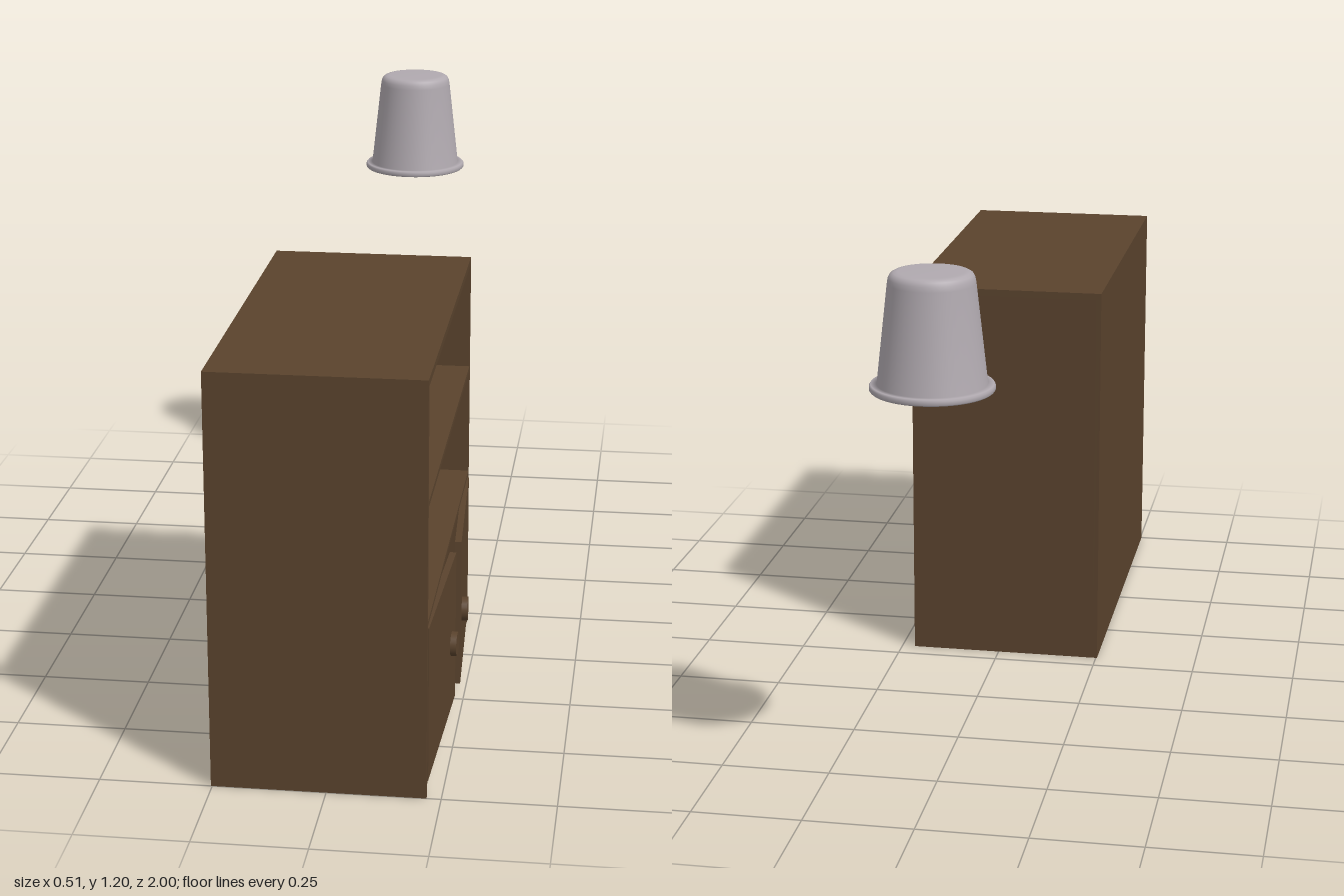
import * as THREE from 'three';

export function createModel() {
  const model = new THREE.Group();
  const wood = new THREE.MeshStandardMaterial({ color: 0x5a432d });
  wood.name = 'brown wood';
  const metal = new THREE.MeshStandardMaterial({ color: 0xb0a9af, side: THREE.DoubleSide });
  metal.name = 'pale grey';

  const cabinet = new THREE.Group();
  cabinet.name = 'cabinet';
  model.add(cabinet);

  // Box given by its lower and upper corners
  function board(name, [x0, y0, z0], [x1, y1, z1], parent = cabinet) {
    const mesh = new THREE.Mesh(new THREE.BoxGeometry(x1 - x0, y1 - y0, z1 - z0), wood);
    mesh.position.set((x0 + x1) / 2, (y0 + y1) / 2, (z0 + z1) / 2);
    mesh.name = name;
    parent.add(mesh);
    return mesh;
  }

  const back = -0.253, inner = -0.24, front = 0.218;
  const zMin = 0.05, zMax = 1, t = 0.014, top = 0.947;

  board('backPanel', [back, 0, zMin], [inner, top, zMax]);
  board('rearSidePanel', [inner, 0, zMin], [front, top - 0.016, zMin + t]);

  // Horizontal boards run flush through the near side
  const shelves = [[0.028, 0.04], [0.398, 0.408], [0.665, 0.677], [0.931, top]];
  const names = ['bottomBoard', 'lowerShelf', 'upperShelf', 'topBoard'];
  shelves.forEach(([y0, y1], i) => {
    board(names[i], [inner, y0, i === 3 ? zMin : zMin + t], [front, y1, zMax]);
  });

  // Side infill between the shelf ends
  let y = 0;
  for (const [y0, y1] of shelves) {
    board('frontSidePanel', [inner, y, zMax - t], [front, y0, zMax]);
    y = y1;
  }

  // Doors stand slightly ajar, each hinged at its outer end
  function door(name, hingeZ, dir, angle, width) {
    const group = new THREE.Group();
    group.name = name;
    group.position.set(0.22, 0, hingeZ);
    group.rotation.y = dir * angle;
    const z = dir * width;
    board('doorPanel', [-0.015, 0.035, Math.min(0, z)], [0, 0.391, Math.max(0, z)], group);

    const knob = new THREE.Mesh(new THREE.CylinderGeometry(0.028, 0.028, 0.014, 24), wood);
    knob.name = 'knob';
    knob.rotation.z = -Math.PI / 2;
    knob.position.set(0.007, 0.196, dir * (width - 0.068));
    group.add(knob);
    cabinet.add(group);
  }
  door('rearDoor', 0.066, 1, 0.052, 0.424);
  door('frontDoor', 0.984, -1, 0.038, 0.43);

  // Upturned hollow cup with a flanged rim
  const profile = [
    [0, 0.245], [0.06, 0.245], [0.08, 0.243], [0.092, 0.238],
    [0.097, 0.226], [0.1, 0.21],
  ];
  const outer = [
    [0, 0.255], [0.07, 0.255], [0.08, 0.253], [0.087, 0.249], [0.091, 0.241],
    [0.093, 0.23], [0.117, 0.015], [0.13, 0.015], [0.133, 0.011],
    [0.133, 0.003], [0.13, 0], [0.112, 0], [0.087, 0.23], [0.08, 0.243], [0, 0.247],
  ].map(([r, h]) => new THREE.Vector2(r, h)).reverse();
  const cup = new THREE.Mesh(new THREE.LatheGeometry(outer, 48), metal);
  cup.name = 'cup';
  cup.position.set(-0.02, 0.947, -0.867);
  model.add(cup);

  return model;
}
